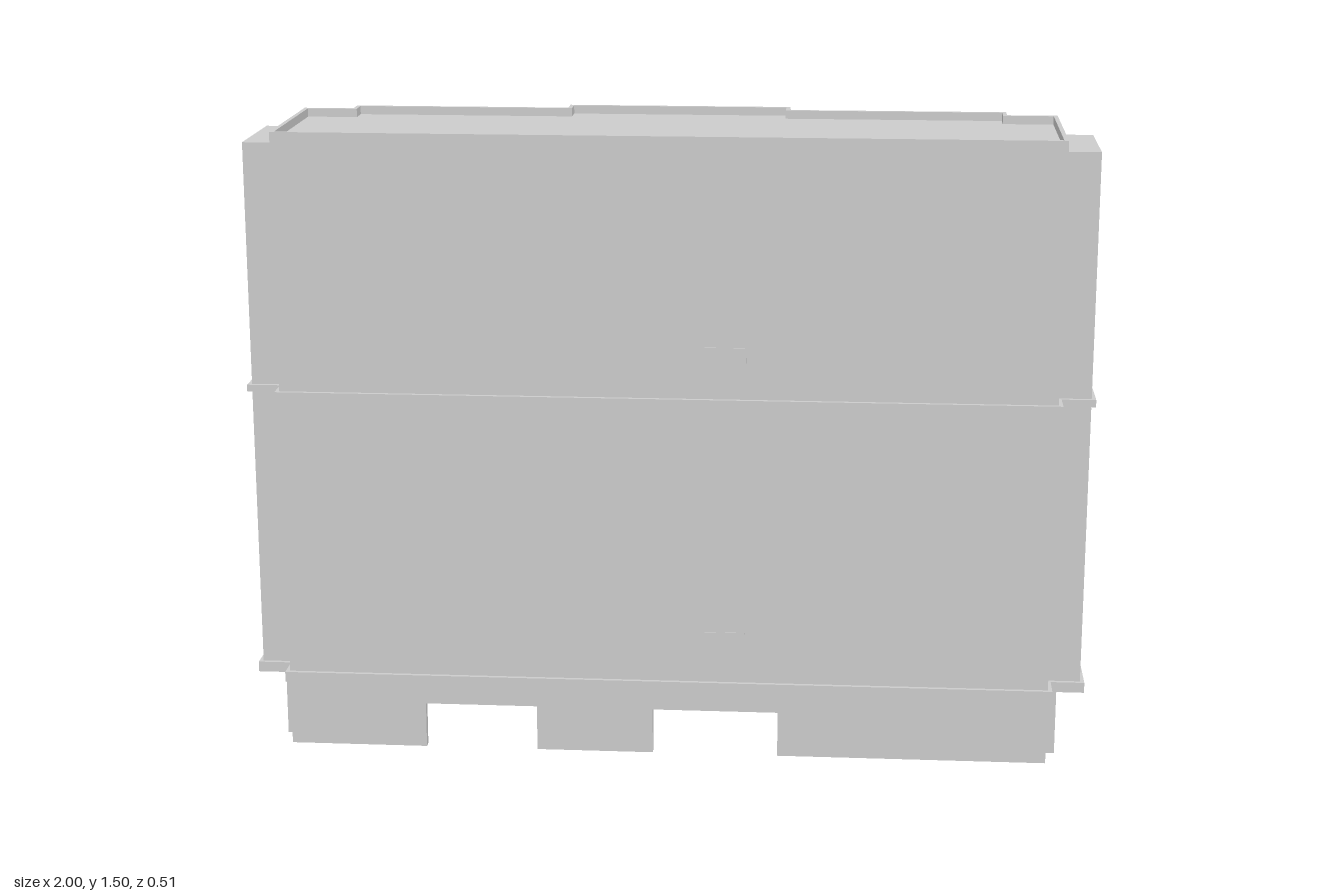
import * as THREE from 'three';

const material = new THREE.MeshStandardMaterial({ color: 0xcccccc, flatShading: true, side: THREE.DoubleSide });

// Plan outline [x, z], counter-clockwise from above; grow offsets it outward.
function outline(wingX, grow = 0) {
  const half = [
    [0.91, 0.247], [0.91, 0.18], [wingX, 0.18], [wingX, -0.08], [0.91, -0.08],
    [0.91, -0.147], [0.79, -0.147], [0.79, -0.197], [0.27, -0.197], [0.27, -0.247],
  ].filter(([, z]) => wingX > 0.91 || (z !== 0.18 && z !== -0.08))
    .map(([x, z]) => [x + grow, z + Math.sign(z) * grow]);
  return [...half, ...half.slice().reverse().map(([x, z]) => [-x, z])];
}

const toVectors = (points) => points.map(([x, z]) => new THREE.Vector2(x, -z));

function addMesh(parent, name, geometry) {
  const mesh = new THREE.Mesh(geometry, material);
  mesh.name = name;
  parent.add(mesh);
  return mesh;
}

// Vertical prism over a plan outline, optionally hollow.
function addPrism(parent, name, points, y0, y1, hole) {
  const shape = new THREE.Shape(toVectors(points));
  if (hole) shape.holes.push(new THREE.Path(toVectors(hole)));
  const geometry = new THREE.ExtrudeGeometry(shape, { depth: y1 - y0, bevelEnabled: false });
  geometry.rotateX(-Math.PI / 2);
  addMesh(parent, name, geometry).position.y = y0;
}

function addBox(parent, name, [x0, x1], [y0, y1], [z0, z1]) {
  addMesh(parent, name, new THREE.BoxGeometry(x1 - x0, y1 - y0, z1 - z0))
    .position.set((x0 + x1) / 2, (y0 + y1) / 2, (z0 + z1) / 2);
}

// Door openings of the plinth: x range and z of the wall they cut.
const doors = [
  { x: [-0.58, -0.31], z: 0.247 },
  { x: [-0.03, 0.27], z: 0.247 },
  { x: [0.29, 0.53], z: -0.197 },
  { x: [-0.24, -0.01], z: -0.247 },
];
const doorHeight = 0.11;
const plinthTop = 0.165;

// One straight plinth wall from p to q, with door openings bitten out of its foot.
function addPlinthWall(parent, p, q) {
  const dx = q[0] - p[0], dz = q[1] - p[1];
  const length = Math.hypot(dx, dz);
  const shape = new THREE.Shape();
  shape.moveTo(0, 0);
  doors
    .filter((d) => d.z === p[1] && d.z === q[1]
      && Math.min(...d.x) > Math.min(p[0], q[0]) && Math.max(...d.x) < Math.max(p[0], q[0]))
    .map((d) => d.x.map((x) => Math.abs(x - p[0])).sort((a, b) => a - b))
    .sort((a, b) => a[0] - b[0])
    .forEach(([a, b]) => {
      shape.lineTo(a, 0);
      shape.lineTo(a, doorHeight);
      shape.lineTo(b, doorHeight);
      shape.lineTo(b, 0);
    });
  shape.lineTo(length, 0);
  shape.lineTo(length, plinthTop);
  shape.lineTo(0, plinthTop);
  const thickness = p[1] === -0.247 && q[1] === -0.247 ? 0.05 : 0.02;
  const geometry = new THREE.ExtrudeGeometry(shape, { depth: thickness, bevelEnabled: false });
  geometry.translate(0, 0, -thickness);
  const wall = addMesh(parent, 'plinthWall', geometry);
  wall.rotation.y = Math.atan2(-dz, dx);
  wall.position.set(p[0], 0, p[1]);
}

export function createModel() {
  const model = new THREE.Group();
  model.name = 'building';

  // Hollow plinth, open at the bottom
  const plinth = new THREE.Group();
  plinth.name = 'plinth';
  const foot = outline(0.935);
  foot.forEach((p, i) => addPlinthWall(plinth, p, foot[(i + 1) % foot.length]));
  model.add(plinth);

  // Main block with its stepped back, and the roof parapet
  addPrism(model, 'mainBlock', outline(0.91), plinthTop, 1.475);
  addPrism(model, 'parapet', outline(0.91), 1.475, 1.495, outline(0.91, -0.01));

  // Lower side wings
  for (const [name, x] of [['leftWing', [0.9, 0.99]], ['rightWing', [-0.99, -0.9]]]) {
    addBox(model, name, x, [plinthTop, 1.46], [-0.08, 0.18]);
  }

  // Projecting string courses
  addPrism(model, 'lowerBand', outline(0.99, 0.01), 0.16, 0.185);
  addPrism(model, 'upperBand', outline(0.99, 0.01), 0.865, 0.882);

  // Small thin panels on the front wall
  for (const y of [0.255, 0.95]) {
    addBox(model, 'frontPanel', [0.08, 0.19], [y, y + 0.055], [0.24, 0.249]);
  }
  return model;
}
